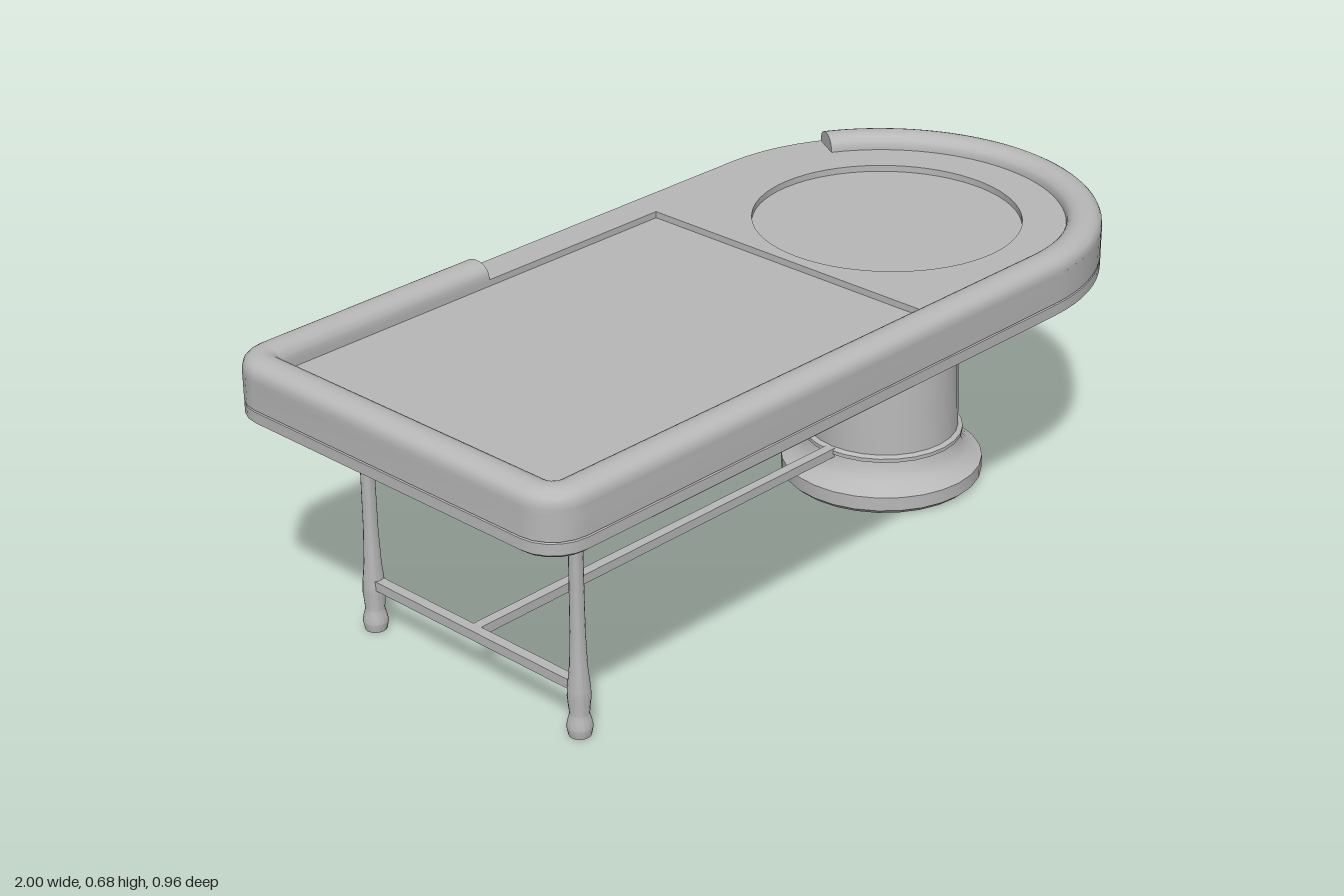
import * as THREE from 'three';
import { toCreasedNormals } from 'three/addons/utils/BufferGeometryUtils.js';

const END_X = 0.52, HALF = 0.48, CORNER = 0.09, FLOOR_Y = 0.625, DECK_Y = 0.64;

function arc(cx, cz, r, from, to, n) {
  return Array.from({ length: n + 1 }, (_, i) => {
    const a = THREE.MathUtils.degToRad(from + (to - from) * i / n);
    return new THREE.Vector2(cx + r * Math.cos(a), cz + r * Math.sin(a));
  });
}

// Table outline (x, z) inset by d: two small left corners and a round right end
function outline(d, endAngle = -90) {
  const c = CORNER - d;
  return [
    ...arc(CORNER - 1, CORNER - HALF, c, 270, 180, 5),
    ...arc(CORNER - 1, HALF - CORNER, c, 180, 90, 5),
    ...arc(END_X, 0, HALF - d, 90, endAngle, 40),
  ];
}

// Carries a profile of [inset, height] pairs along the outline
function sweep(profile, pathAt, closed) {
  const paths = profile.map(([d]) => pathAt(d));
  const n = paths[0].length, m = profile.length, pos = [], index = [];
  for (let i = 0; i < n; i++)
    for (let j = 0; j < m; j++) pos.push(paths[j][i].x, profile[j][1], paths[j][i].y);
  for (let i = 0; i < (closed ? n : n - 1); i++)
    for (let j = 0; j < m - 1; j++) {
      const a = i * m + j, b = ((i + 1) % n) * m + j;
      index.push(a, b, b + 1, a, b + 1, a + 1);
    }
  if (!closed) {
    const e = (n - 1) * m;
    for (let j = 1; j < m - 1; j++) index.push(0, j, j + 1, e, e + j + 1, e + j);
  }
  const g = new THREE.BufferGeometry();
  g.setAttribute('position', new THREE.Float32BufferAttribute(pos, 3));
  g.setIndex(index);
  return toCreasedNormals(g, 0.55);
}

function lathe(points, sides) {
  return toCreasedNormals(
    new THREE.LatheGeometry(points.map(([r, y]) => new THREE.Vector2(r, y)), sides), 0.5);
}

export function createModel() {
  const model = new THREE.Group();
  const grey = new THREE.MeshStandardMaterial({ color: 0xb8b8b8 });
  grey.name = 'plain grey';
  const add = (name, geometry, x = 0, y = 0, z = 0) => {
    const mesh = new THREE.Mesh(geometry, grey);
    mesh.name = name;
    mesh.position.set(x, y, z);
    model.add(mesh);
    return mesh;
  };

  // Table body: bevelled lower band, fine groove and side wall
  add('tableSide', sweep([
    [0.01, 0.535], [0, 0.543], [0, 0.568], [0.004, 0.57], [0, 0.572], [0, FLOOR_Y],
  ], outline, true));
  add('tableUnderside', new THREE.ShapeGeometry(new THREE.Shape(outline(0.01))).rotateX(Math.PI / 2), 0, 0.535);
  add('basinFloor', new THREE.ShapeGeometry(new THREE.Shape(outline(0))).rotateX(-Math.PI / 2), 0, FLOOR_Y);

  // Deck with a rectangular basin and a round recess
  const deck = new THREE.Shape(outline(0));
  deck.holes.push(new THREE.Path([[-0.92, -0.4], [0.18, -0.4], [0.18, 0.4], [-0.92, 0.4]]
    .map(([x, y]) => new THREE.Vector2(x, y))));
  deck.holes.push(new THREE.Path(arc(0.515, 0, 0.305, 0, 360, 64).slice(0, -1)));
  add('deck', toCreasedNormals(new THREE.ExtrudeGeometry(deck, {
    depth: DECK_Y - FLOOR_Y, bevelEnabled: false,
  }).rotateX(-Math.PI / 2), 0.5), 0, FLOOR_Y);

  // Raised rounded rim, open along part of the back
  const rimProfile = [[0, DECK_Y - 0.008]];
  for (let i = 0; i <= 12; i++) {
    const a = Math.PI * i / 12;
    rimProfile.push([0.04 - 0.04 * Math.cos(a), DECK_Y + 0.035 * Math.sin(a) ** 0.8]);
  }
  rimProfile.push([0.08, FLOOR_Y]);
  add('rim', sweep(rimProfile,
    d => [new THREE.Vector2(-0.335, d - HALF), ...outline(d, -60)], false));

  // Turned pedestal
  add('pedestal', lathe([
    [0, 0], [0.222, 0], [0.235, 0.012], [0.235, 0.045], [0.218, 0.054], [0.2, 0.068],
    [0.187, 0.085], [0.181, 0.108], [0.188, 0.111], [0.188, 0.12], [0.177, 0.125],
    [0.175, 0.22], [0.171, 0.33], [0.168, 0.42], [0.18, 0.45], [0.205, 0.478],
    [0.238, 0.507], [0.266, 0.536],
  ], 28), 0.515);

  // Slim turned legs at the square end
  const leg = lathe([
    [0, 0], [0.024, 0], [0.028, 0.02], [0.025, 0.035], [0.021, 0.05], [0.025, 0.09],
    [0.024, 0.11], [0.019, 0.16], [0.016, 0.24], [0.015, 0.42], [0.018, 0.45],
    [0.029, 0.5], [0.035, 0.536],
  ], 16);
  for (const s of [1, -1]) add(s > 0 ? 'frontLeg' : 'backLeg', leg, -0.78, 0, 0.31 * s);

  // Stretchers
  add('crossStretcher', new THREE.BoxGeometry(0.024, 0.022, 0.6), -0.78, 0.113, 0);
  add('longStretcher', new THREE.BoxGeometry(1.14, 0.022, 0.024), -0.2, 0.113, 0);
  return model;
}
